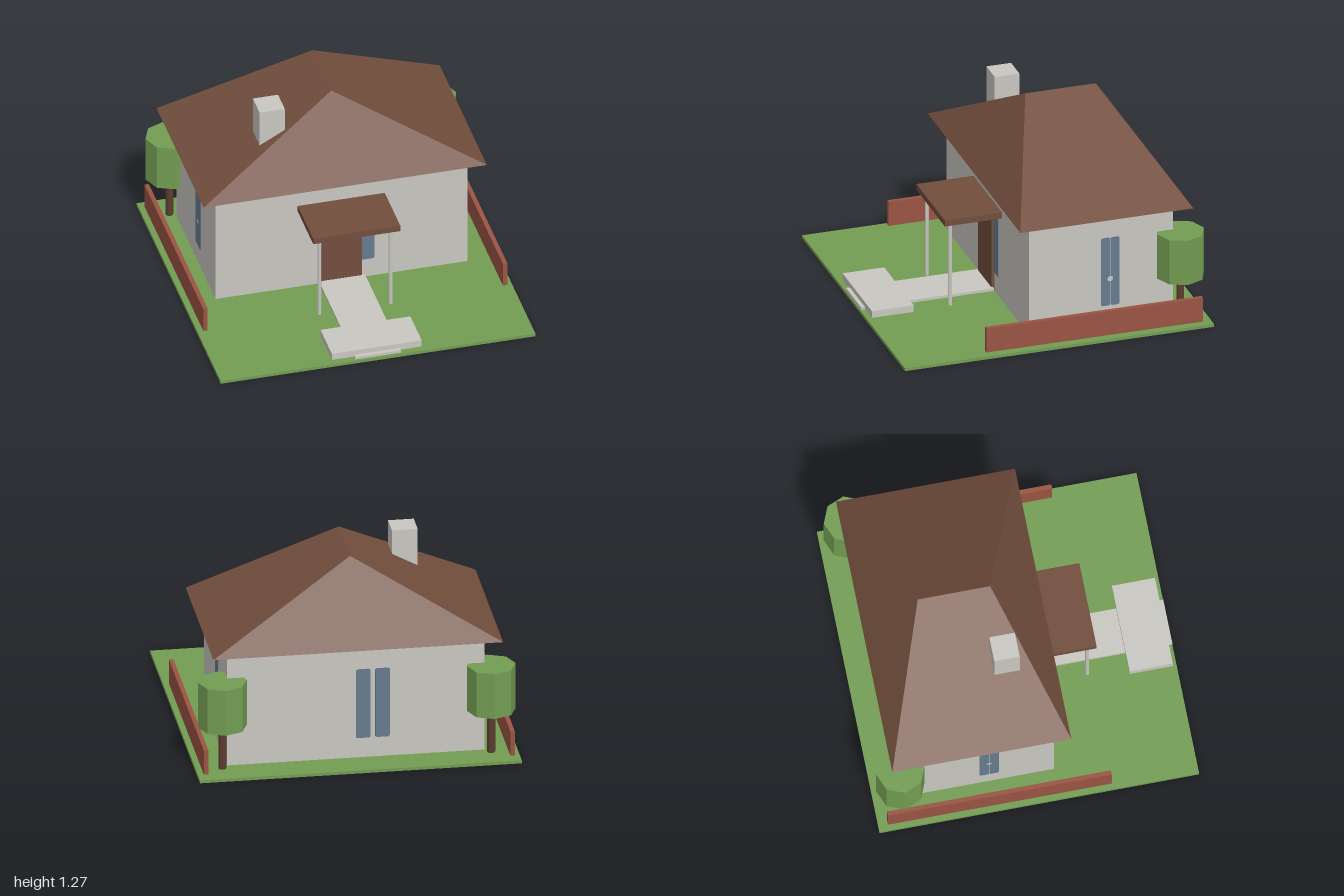
import * as THREE from 'three';
import { ConvexGeometry } from 'three/addons/geometries/ConvexGeometry.js';

const mat = (name, color, flat = false) => {
  const m = new THREE.MeshStandardMaterial({ color, flatShading: flat });
  m.name = name;
  return m;
};

export function createModel() {
  const plaster = mat('plaster', 0xc9c7c1, true);
  const brown = mat('roofBrown', 0x724e3d, true);
  const bark = mat('bark', 0x5c3c2e, true);
  const green = mat('green', 0x739d53, true);
  const brick = mat('brick', 0x9a5443, true);
  const glass = mat('glass', 0x667a8d, true);

  const model = new THREE.Group();
  model.name = 'house';

  const add = (name, geometry, material, parent = model) => {
    const mesh = new THREE.Mesh(geometry, material);
    mesh.name = name;
    parent.add(mesh);
    return mesh;
  };
  // Box given by its limits on each axis
  const box = (name, material, [x0, x1], [y0, y1], [z0, z1]) => {
    const mesh = add(name, new THREE.BoxGeometry(x1 - x0, y1 - y0, z1 - z0), material);
    mesh.position.set((x0 + x1) / 2, (y0 + y1) / 2, (z0 + z1) / 2);
    return mesh;
  };

  // Ground, walls and chimney
  box('lawn', green, [-1, 1], [0, 0.02], [-1, 1]);
  box('walls', plaster, [-0.8, 0.8], [0.02, 0.776], [-0.8, 0.13]);
  box('chimney', plaster, [-0.48, -0.32], [0.8, 1.25], [-0.18, -0.02]);

  // Hipped roof with a ridge running front to back
  const roofPoints = [[0, 1.27, -0.565], [0, 1.27, -0.112]];
  for (const x of [-0.9, 0.9]) for (const z of [-0.9, 0.22]) roofPoints.push([x, 0.776, z]);
  add('roof', new ConvexGeometry(roofPoints.map((p) => new THREE.Vector3(...p))), brown);

  // Door and porch
  box('door', brown, [-0.13, 0.125], [0.02, 0.522], [0.13, 0.15]);
  box('porchRoof', brown, [-0.278, 0.275], [0.58, 0.62], [0.13, 0.5]);
  for (const x of [-0.226, 0.226]) {
    const post = add('porchPost', new THREE.CylinderGeometry(0.013, 0.013, 0.58, 8), plaster);
    post.position.set(x, 0.29, 0.45);
  }

  // Path with a wide step
  box('path', plaster, [-0.147, 0.145], [0.03, 0.048], [0.14, 1]);
  box('step', plaster, [-0.287, 0.284], [0.035, 0.08], [0.705, 0.975]);

  // Window pane with clipped corners and a half-round notch on one edge
  const pane = (x0, x1, notchSide) => {
    const y0 = 0.15, y1 = 0.61, c = 0.008, r = 0.018, yn = 0.33;
    const s = new THREE.Shape();
    s.moveTo(x0 + c, y0);
    s.lineTo(x1 - c, y0);
    s.lineTo(x1, y0 + c);
    if (notchSide === 1) s.absarc(x1, yn, r, -Math.PI / 2, Math.PI / 2, true);
    s.lineTo(x1, y1 - c);
    s.lineTo(x1 - c, y1);
    s.lineTo(x0 + c, y1);
    s.lineTo(x0, y1 - c);
    if (notchSide === -1) s.absarc(x0, yn, r, Math.PI / 2, -Math.PI / 2, true);
    s.lineTo(x0, y0 + c);
    s.closePath();
    return new THREE.ExtrudeGeometry(s, { depth: 0.004, bevelEnabled: false, curveSegments: 8 });
  };

  // Each pair of panes is repeated on the opposite wall, turned half way round
  for (const turn of [0, Math.PI]) {
    const windows = new THREE.Group();
    windows.name = turn ? 'backAndRightWindows' : 'frontAndLeftWindows';
    windows.position.z = -0.335;
    windows.rotation.y = turn;
    model.add(windows);
    for (const [x0, x1] of [[0, 0.09], [0.12, 0.21]]) {
      add('longPane', pane(x0, x1, 0), glass, windows).position.z = 0.465;
    }
    for (const [x0, x1, notch] of [[0, 0.058, 1], [0.061, 0.12, -1]]) {
      const side = add('sidePane', pane(x0, x1, notch), glass, windows);
      side.rotation.y = Math.PI / 2;
      side.position.x = 0.8;
    }
  }

  // Side fences and corner trees
  for (const s of [-1, 1]) {
    const fence = box('fence', brick, [-0.014, 0.014], [0.03, 0.192], [-0.94, 0.46]);
    fence.position.x = s * 0.952;

    const tree = new THREE.Group();
    tree.name = 'tree';
    tree.position.set(s * 0.835, 0, -0.837);
    model.add(tree);
    add('trunk', new THREE.CylinderGeometry(0.025, 0.025, 0.29, 8), bark, tree).position.y = 0.165;
    // Crown is a hollow octagonal drum, closed on top only
    add('crown', new THREE.CylinderGeometry(0.152, 0.152, 0.3, 8, 1, true), green, tree).position.y = 0.453;
    const top = add('crownTop', new THREE.CircleGeometry(0.152, 8), green, tree);
    top.rotation.x = -Math.PI / 2;
    top.position.y = 0.603;
  }
  return model;
}
